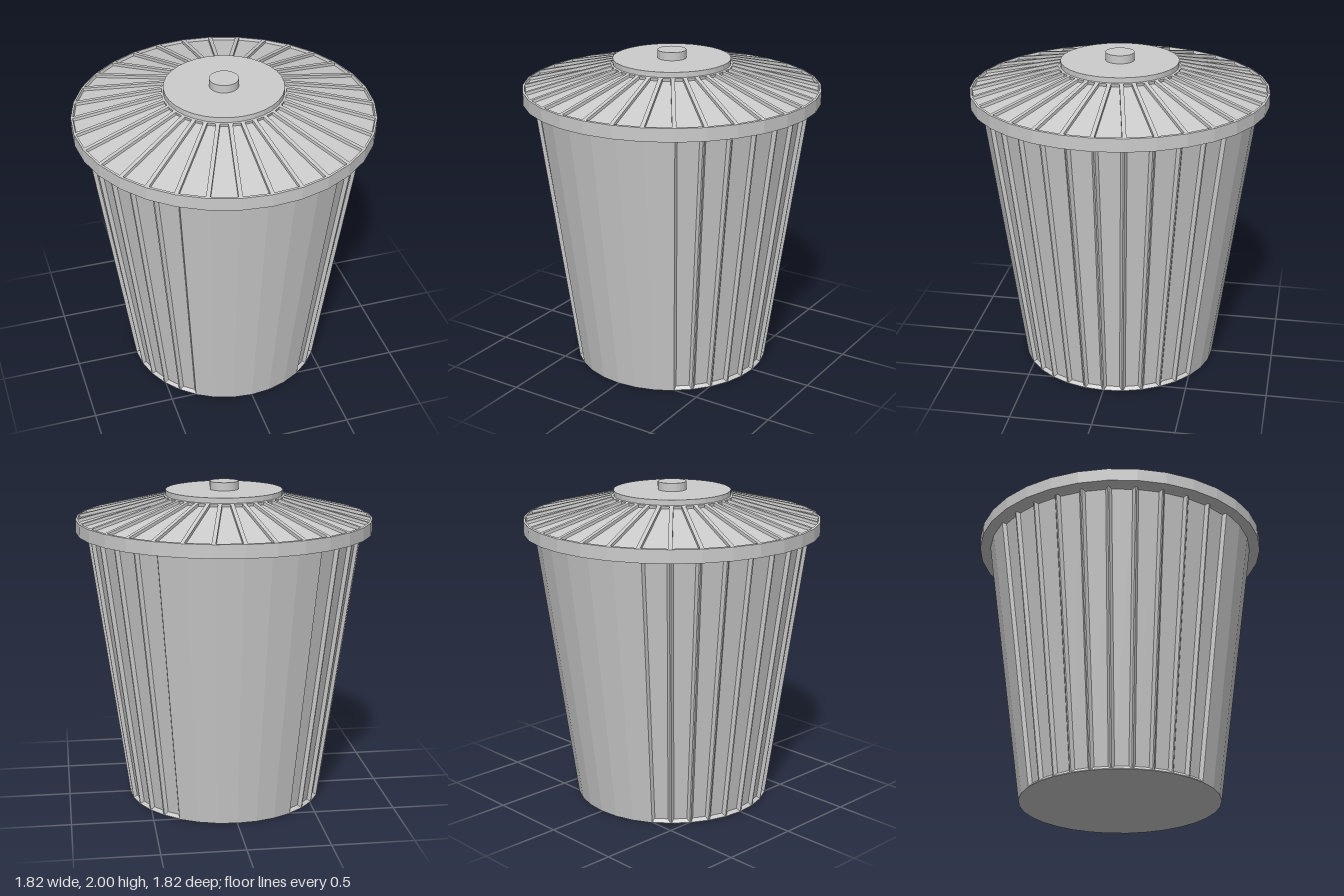
import * as THREE from 'three';

const SIDES = 32;
const STEP = (Math.PI * 2) / SIDES;
const material = new THREE.MeshStandardMaterial({ color: 0xcccccc, flatShading: true });

// Adds one facet of a cone wall, stepped inward through rings of [inset, depth].
function addFacet(out, index, r0, y0, r1, y1, rings) {
  const mid = (index + 0.5) * STEP;
  const dir = new THREE.Vector3(Math.sin(mid), 0, Math.cos(mid));
  const side = new THREE.Vector3(Math.cos(mid), 0, -Math.sin(mid));
  const c = Math.cos(STEP / 2), s = Math.sin(STEP / 2);
  const run = (r1 - r0) * c, rise = y1 - y0, len = Math.hypot(run, rise);

  const corner = (t, sign, inset, depth) => {
    const k = t / len;
    const half = (r0 + (r1 - r0) * k) * s - inset;
    const p = dir.clone().multiplyScalar(r0 * c + run * k - depth * rise / len);
    p.addScaledVector(side, sign * half);
    p.y = y0 + rise * k + depth * run / len;
    return p;
  };
  const loops = rings.map(([d, depth]) => [
    corner(d, -1, d, depth), corner(d, 1, d, depth),
    corner(len - d, 1, d, depth), corner(len - d, -1, d, depth),
  ]);
  const quad = (a, b, e, f) => [a, b, e, a, e, f].forEach((p) => out.push(p.x, p.y, p.z));
  for (let i = 0; i + 1 < loops.length; i++) {
    const a = loops[i], b = loops[i + 1];
    for (let j = 0; j < 4; j++) quad(a[j], a[(j + 1) % 4], b[(j + 1) % 4], b[j]);
  }
  quad(...loops[loops.length - 1]);
}

// Cone wall whose facets are recessed panels or plain, chosen by ringsFor(index).
function panelledWall(r0, y0, r1, y1, ringsFor) {
  const out = [];
  for (let i = 0; i < SIDES; i++) addFacet(out, i, r0, y0, r1, y1, ringsFor(i));
  const g = new THREE.BufferGeometry();
  g.setAttribute('position', new THREE.Float32BufferAttribute(out, 3));
  g.computeVertexNormals();
  return g;
}

export function createModel() {
  const group = new THREE.Group();
  const add = (name, geometry, y = 0) => {
    const mesh = new THREE.Mesh(geometry, material);
    mesh.name = name;
    mesh.position.y = y;
    group.add(mesh);
    return mesh;
  };
  const disc = (name, r, y0, y1) =>
    add(name, new THREE.CylinderGeometry(r, r, y1 - y0, SIDES), (y0 + y1) / 2);

  // Tapered body: grooved on both sides, plain across the front and back
  const plain = [[0, 0]];
  const groove = [[0, 0], [0.004, 0], [0.02, 0.02]];
  add('body', panelledWall(0.61, 0, 0.847, 1.71, (i) => {
    const k = (i + 3) % 16;
    return k < 6 ? plain : groove;
  }));
  add('bodyBase', new THREE.CircleGeometry(0.61, SIDES).rotateX(Math.PI / 2));

  // Lid: rim band with closed underside, conical top with sunken panels
  add('lidRim', new THREE.CylinderGeometry(0.912, 0.912, 0.08, SIDES, 1, true), 1.74);
  add('lidUnderside', new THREE.CircleGeometry(0.912, SIDES).rotateX(Math.PI / 2), 1.70);
  const sunken = [[0, 0], [0.012, 0], [0.013, 0.018]];
  add('lidSlope', panelledWall(0.912, 1.78, 0.36, 1.918, () => sunken));

  // Cap plate and knob
  disc('lidCap', 0.36, 1.915, 1.95);
  disc('lidKnob', 0.088, 1.95, 2.0);
  return group;
}
